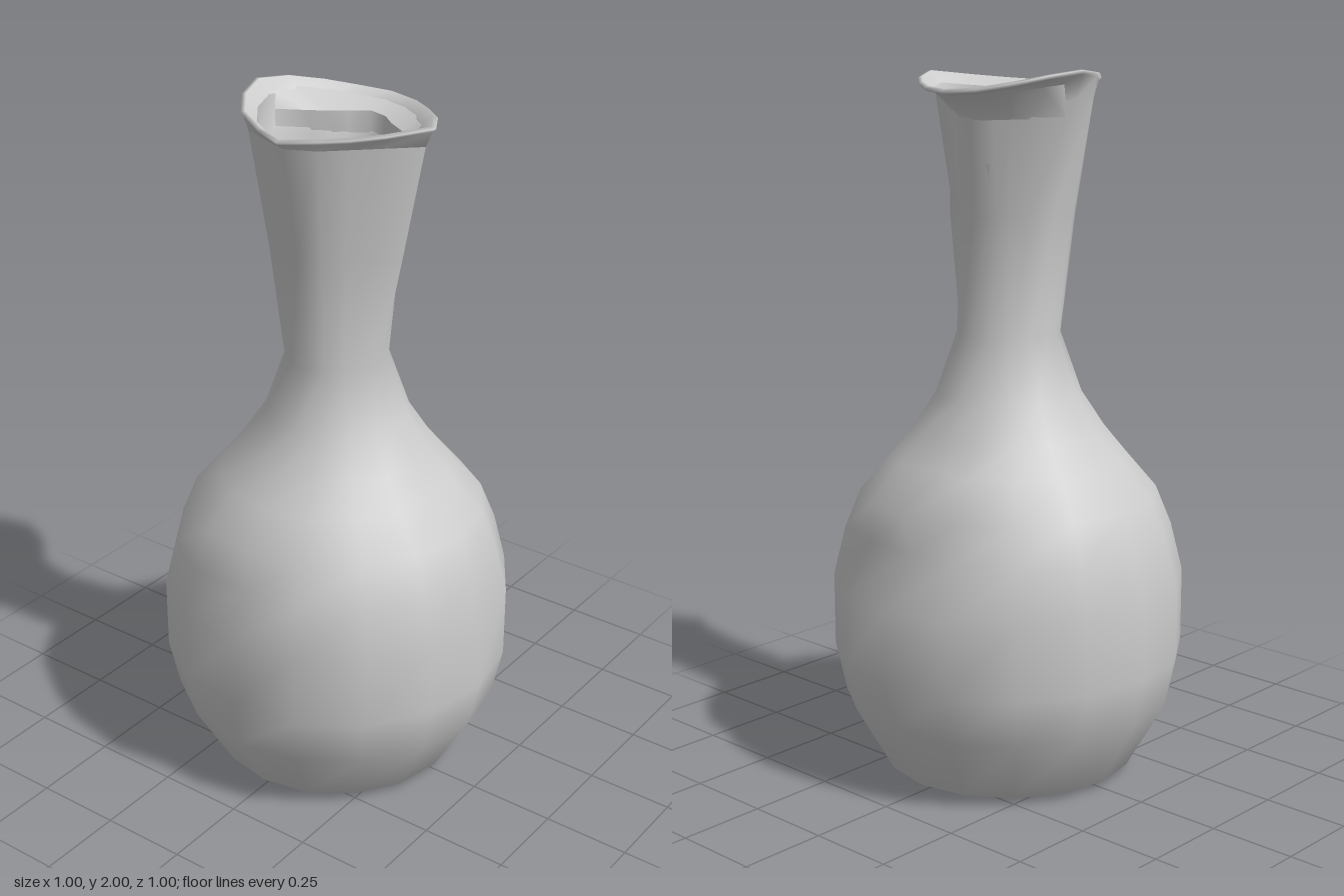
import * as THREE from 'three';

const SIDES = 16;

// Distance from the axis to a closed outline of [x, z] points along angle a
function outlineRadius(points, a) {
  const dx = Math.cos(a), dz = Math.sin(a);
  let best = 0;
  points.forEach(([x1, z1], i) => {
    const [x2, z2] = points[(i + 1) % points.length];
    const ex = x2 - x1, ez = z2 - z1;
    const det = dz * ex - dx * ez;
    if (Math.abs(det) < 1e-9) return;
    const t = (ex * z1 - ez * x1) / det;
    const s = (dx * z1 - dz * x1) / det;
    if (t > 0 && s >= -1e-6 && s <= 1 + 1e-6) best = Math.max(best, t);
  });
  return best;
}

// One ring of the loft; y may be a number or a rule of (x, z)
function ring(radius, y) {
  return Array.from({ length: SIDES }, (_, i) => {
    const a = (i / SIDES) * Math.PI * 2;
    const r = radius(a, i);
    const x = r * Math.cos(a), z = r * Math.sin(a);
    return [x, typeof y === 'function' ? y(x, z) : y, z];
  });
}

// Smooth skin through rings, each with SIDES points
function loft(name, rings) {
  const index = [];
  for (let j = 0; j < rings.length - 1; j++) {
    for (let i = 0; i < SIDES; i++) {
      const n = (i + 1) % SIDES;
      const a = j * SIDES + i, b = j * SIDES + n;
      const c = a + SIDES, d = b + SIDES;
      index.push(a, c, b, b, c, d);
    }
  }
  const geometry = new THREE.BufferGeometry();
  geometry.setAttribute('position', new THREE.Float32BufferAttribute(rings.flat(2), 3));
  geometry.setIndex(index);
  geometry.computeVertexNormals();
  const mesh = new THREE.Mesh(geometry, new THREE.MeshStandardMaterial({
    color: 0xcccccc, side: THREE.DoubleSide,
  }));
  mesh.name = name;
  return mesh;
}

export function createModel() {
  const group = new THREE.Group();
  group.name = 'vase';

  // Round belly: [radius, height]
  const profile = [
    [0.001, 0.005], [0.3, 0.005], [0.36, 0.025], [0.47, 0.22], [0.5, 0.36], [0.5, 0.57],
    [0.465, 0.71], [0.42, 0.82], [0.335, 0.92], [0.27, 1.0], [0.205, 1.1], [0.145, 1.27],
  ];
  // Worn spots: [profile row, side, scale]
  const dents = [
    [6, 0, 0.84], [6, 1, 0.9], [6, 15, 0.9], [8, 0, 0.86],
    [6, 8, 0.9], [3, 0, 0.96], [4, 8, 0.94], [5, 4, 0.96], [8, 4, 0.94], [10, 4, 0.95],
  ];
  const belly = profile.map(([r, y], row) => ring((a, i) => {
    const dent = dents.find(d => d[0] === row && d[1] === i);
    return r * (dent ? dent[2] : 1);
  }, y));

  // Flaring, folded neck outlines as [x, z]
  const neckMiddle = [
    [0.1, 0.05], [0.08, 0.15], [0, 0.215], [-0.1, 0.13], [-0.18, 0.02],
    [-0.13, -0.13], [-0.03, -0.2], [0.06, -0.1],
  ];
  const neckTop = [
    [0.17, 0.02], [0.07, 0.14], [0.05, 0.25], [0, 0.28], [-0.12, 0.155], [-0.24, 0.03],
    [-0.17, -0.16], [-0.06, -0.25], [0, -0.24], [0.08, -0.1],
  ];
  const section = (points, scale = 1) => a => outlineRadius(points, a) * scale;
  group.add(loft('bodyAndNeck', [
    ...belly, ring(section(neckMiddle), 1.6), ring(section(neckTop), 1.92),
  ]));

  // Pointed lip, dipping at both sides
  const lip = [
    [0.26, 0], [0.22, 0.12], [0.13, 0.22], [0.06, 0.29], [0, 0.31], [-0.03, 0.3],
    [-0.16, 0.15], [-0.26, 0], [-0.19, -0.17], [-0.09, -0.245], [0, -0.27],
    [0.1, -0.24], [0.19, -0.17], [0.25, -0.07],
  ];
  const lipHeight = drop => (x, z) => 1.945 - drop + (z < 0 ? 0.75 : 0.3) * z * z;
  group.add(loft('lip', [
    ring(section(neckTop), 1.92),
    ring(section(lip, 0.97), lipHeight(0.008)),
    ring(section(lip), lipHeight(0)),
    ring(section(lip, 0.95), lipHeight(-0.006)),
    ring(section(lip, 0.83), lipHeight(0.02)),
  ]));

  // Inner wall of the neck, closed at the bottom
  group.add(loft('innerWall', [
    ring(section(lip, 0.83), lipHeight(0.02)),
    ring(section(neckTop, 0.9), 1.86),
    ring(section(neckMiddle, 0.88), 1.6),
    ring(() => 0.12, 1.27),
    ring(() => 0.14, 1.1),
    ring(() => 0.001, 1.05),
  ]));

  return group;
}
